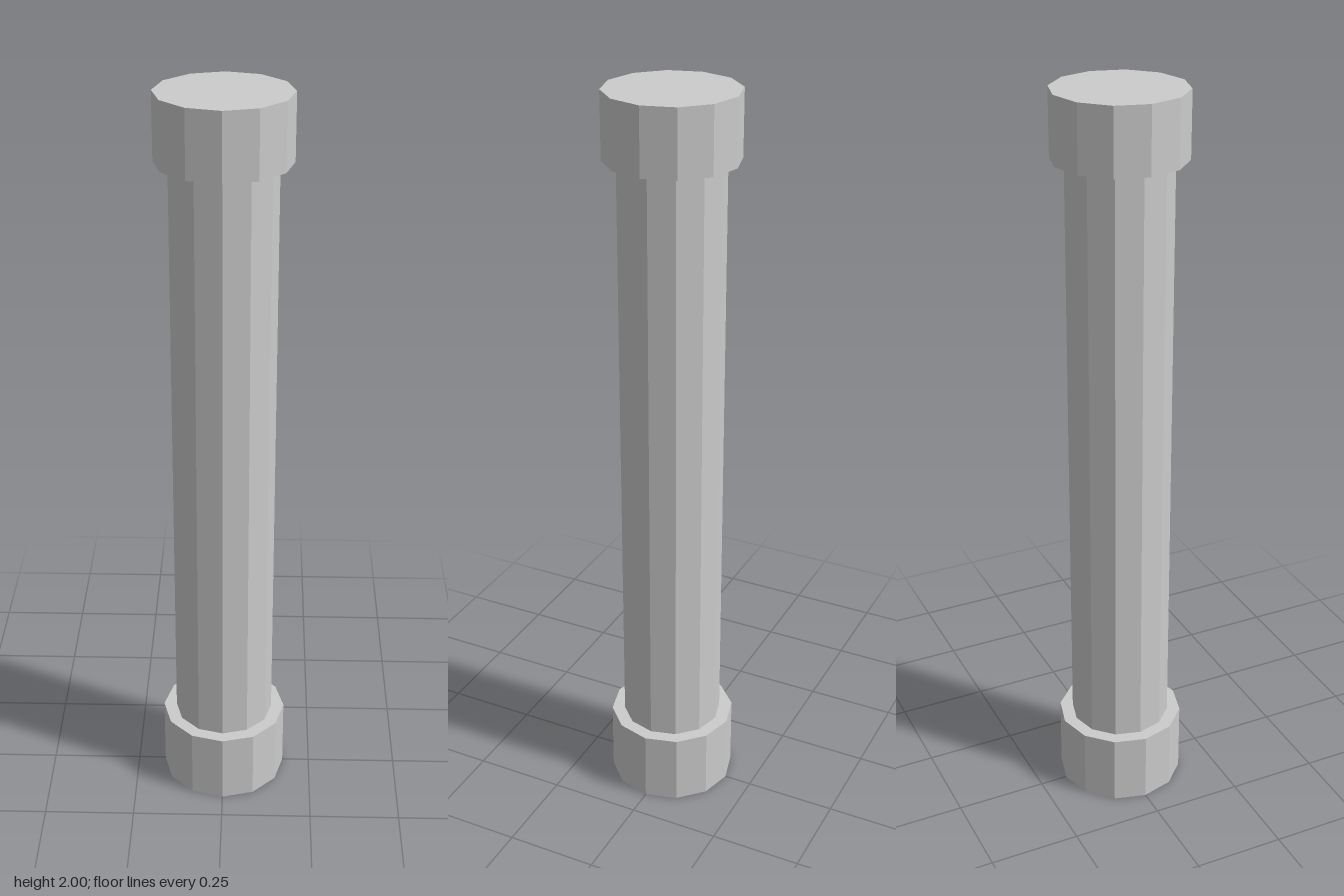
import * as THREE from 'three';

const SIDES = 12;

export function createModel() {
  const group = new THREE.Group();
  group.name = 'column';
  const material = new THREE.MeshStandardMaterial({ color: 0xcccccc, flatShading: true });

  // Twelve-sided drum between two heights
  function drum(name, radius, bottom, top) {
    const geometry = new THREE.CylinderGeometry(radius, radius, top - bottom, SIDES);
    const mesh = new THREE.Mesh(geometry, material);
    mesh.name = name;
    mesh.position.y = (bottom + top) / 2;
    group.add(mesh);
  }

  drum('base', 0.173, 0, 0.2);
  drum('shaft', 0.137, 0.2, 1.827);
  drum('capital', 0.173, 1.827, 2);

  return group;
}
